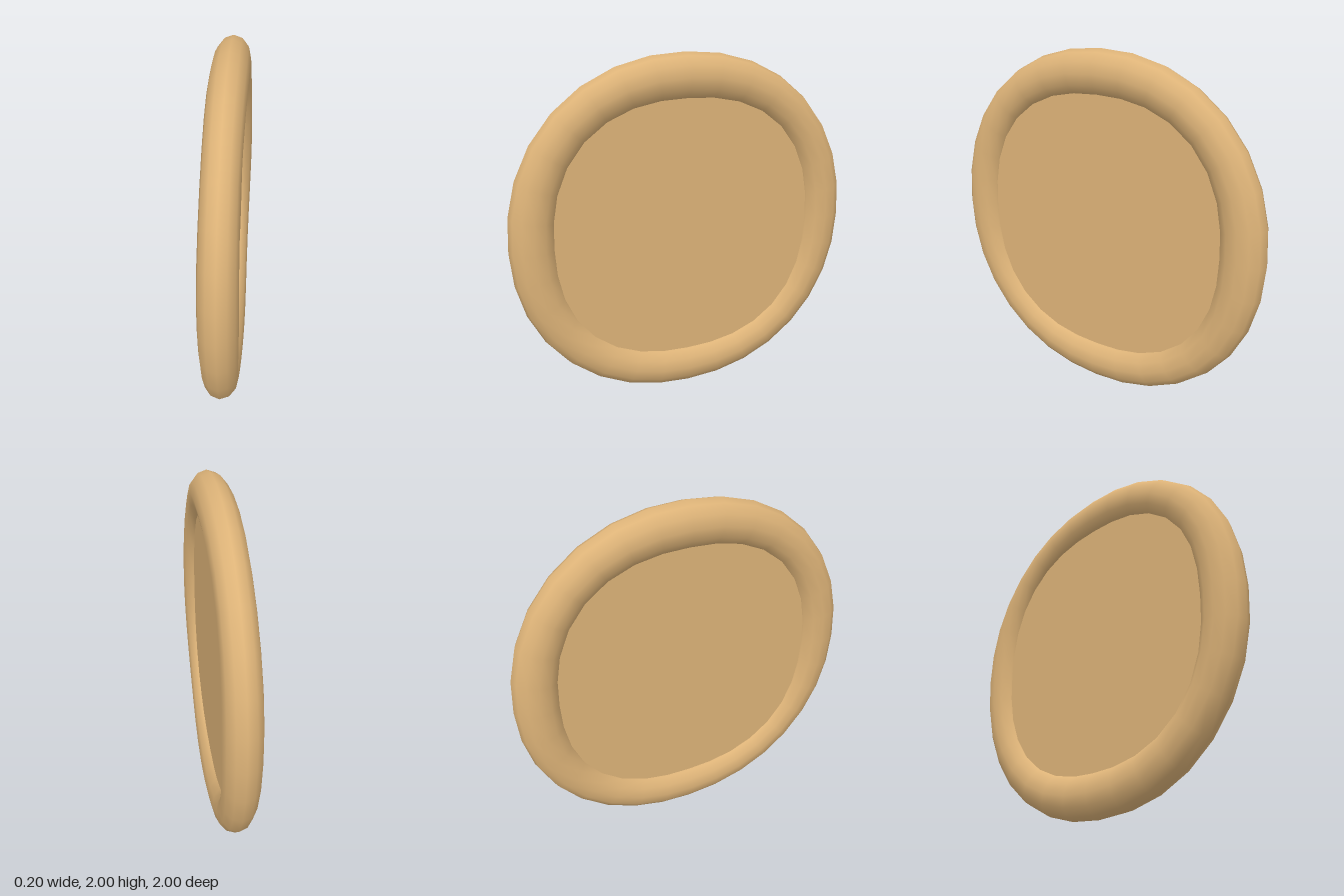
import * as THREE from 'three';
import { mergeVertices } from 'three/addons/utils/BufferGeometryUtils.js';

const SIDES = 32;
const MID = 0.875; // rim centre line
const WIDE = 0.125; // rim half width
const THICK = 0.1; // rim half thickness

// Slightly squared circle: 1 on the axes, a little more on the diagonals
const squircle = (a, n = 2.24) =>
  (Math.abs(Math.cos(a)) ** n + Math.abs(Math.sin(a)) ** n) ** (-1 / n);

// Oval tube that gets a little slimmer towards the diagonals
function rimGeometry() {
  const geo = new THREE.TorusGeometry(MID, WIDE, 12, SIDES);
  geo.deleteAttribute('uv');
  geo.deleteAttribute('normal');
  const p = geo.attributes.position;
  for (let i = 0; i < p.count; i++) {
    const a = Math.atan2(p.getY(i), p.getX(i));
    const slim = 1 - 0.08 * Math.sin(2 * a) ** 2;
    const out = Math.hypot(p.getX(i), p.getY(i)) - MID;
    const r = MID * squircle(a) + out * slim;
    p.setXYZ(i, r * Math.cos(a), r * Math.sin(a), p.getZ(i) * slim * THICK / WIDE);
  }
  const merged = mergeVertices(geo);
  merged.computeVertexNormals();
  return merged;
}

// Flat plate whose edge is buried in the rim
function panelGeometry() {
  const pts = [];
  for (let i = 0; i < SIDES; i++) {
    const a = (i / SIDES) * Math.PI * 2;
    const r = 0.8 * squircle(a);
    pts.push(new THREE.Vector2(r * Math.cos(a), r * Math.sin(a)));
  }
  const geo = new THREE.ExtrudeGeometry(new THREE.Shape(pts), { depth: 0.08, bevelEnabled: false });
  return geo.translate(0, 0, -0.04);
}

export function createModel() {
  const group = new THREE.Group();
  group.name = 'roundPlaque';
  const tan = new THREE.MeshStandardMaterial({ color: 0xddb378 });
  const add = (name, geo) => {
    const mesh = new THREE.Mesh(geo.rotateY(Math.PI / 2).translate(0, 1, 0), tan);
    mesh.name = name;
    group.add(mesh);
  };
  add('rim', rimGeometry());
  add('panel', panelGeometry());
  return group;
}
